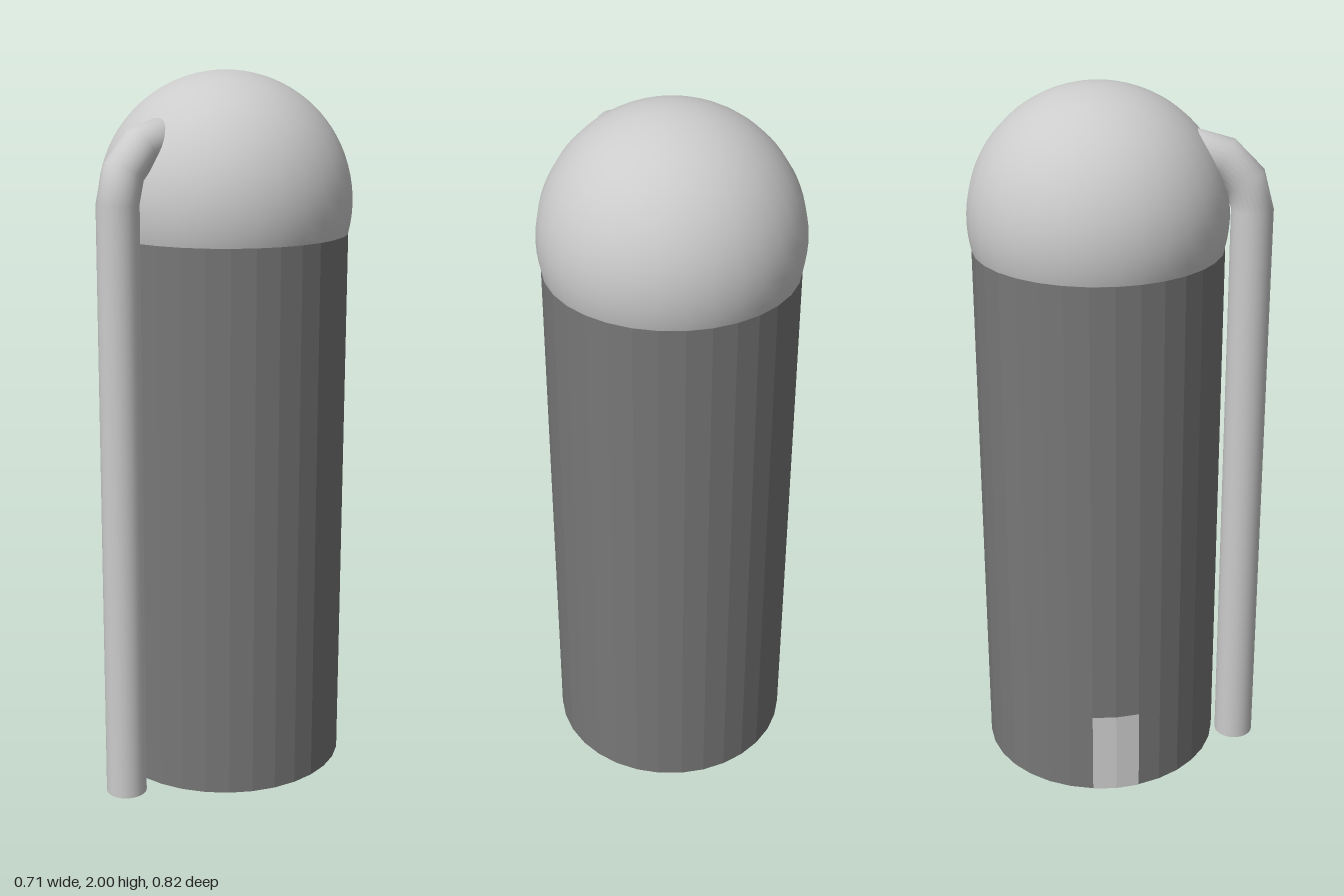
import * as THREE from 'three';

export function createModel() {
  const group = new THREE.Group();
  const grey = new THREE.MeshStandardMaterial({ color: 0xcccccc });
  const darkFlat = new THREE.MeshStandardMaterial({ color: 0x777777, flatShading: true });
  const plateGrey = new THREE.MeshStandardMaterial({ color: 0xcccccc, flatShading: true, side: THREE.DoubleSide });

  const add = (name, geometry, material, y, z) => {
    const mesh = new THREE.Mesh(geometry, material);
    mesh.name = name;
    mesh.position.set(0, y, z);
    group.add(mesh);
  };

  const sides = 32;
  const axisZ = -0.058;
  const bottom = 0.01, rim = 1.56, bodyRadius = 0.343;

  // Tall faceted tank body
  add('tankBody', new THREE.CylinderGeometry(bodyRadius, bodyRadius, rim - bottom, sides),
    darkFlat, (bottom + rim) / 2, axisZ);

  // Dome: a sphere cut off where it meets the body rim
  const domeRadius = 0.353, domeY = 2 - domeRadius;
  const cut = Math.acos((rim - domeY) / domeRadius);
  add('dome', new THREE.SphereGeometry(domeRadius, sides, 24, 0, Math.PI * 2, 0, cut),
    grey, domeY, axisZ);

  // Thin plate covering two facets low on the side of the body
  add('sidePlate', new THREE.CylinderGeometry(bodyRadius + 0.002, bodyRadius + 0.002, 0.25, 2, 1, true,
    Math.PI * 1.5, Math.PI / 8), plateGrey, bottom + 0.125, axisZ);

  // Pipe: straight riser, then a three-segment elbow into the dome
  const pipeRadius = 0.057, bend = 0.158, elbowY = 1.67, elbowZ = 0.196;
  add('pipeRiser', new THREE.CylinderGeometry(pipeRadius, pipeRadius, elbowY, 24),
    grey, elbowY / 2, elbowZ + bend);
  add('pipeElbow', new THREE.TorusGeometry(bend, pipeRadius, 24, 3, Math.PI / 2).rotateY(-Math.PI / 2),
    grey, elbowY, elbowZ);

  return group;
}
